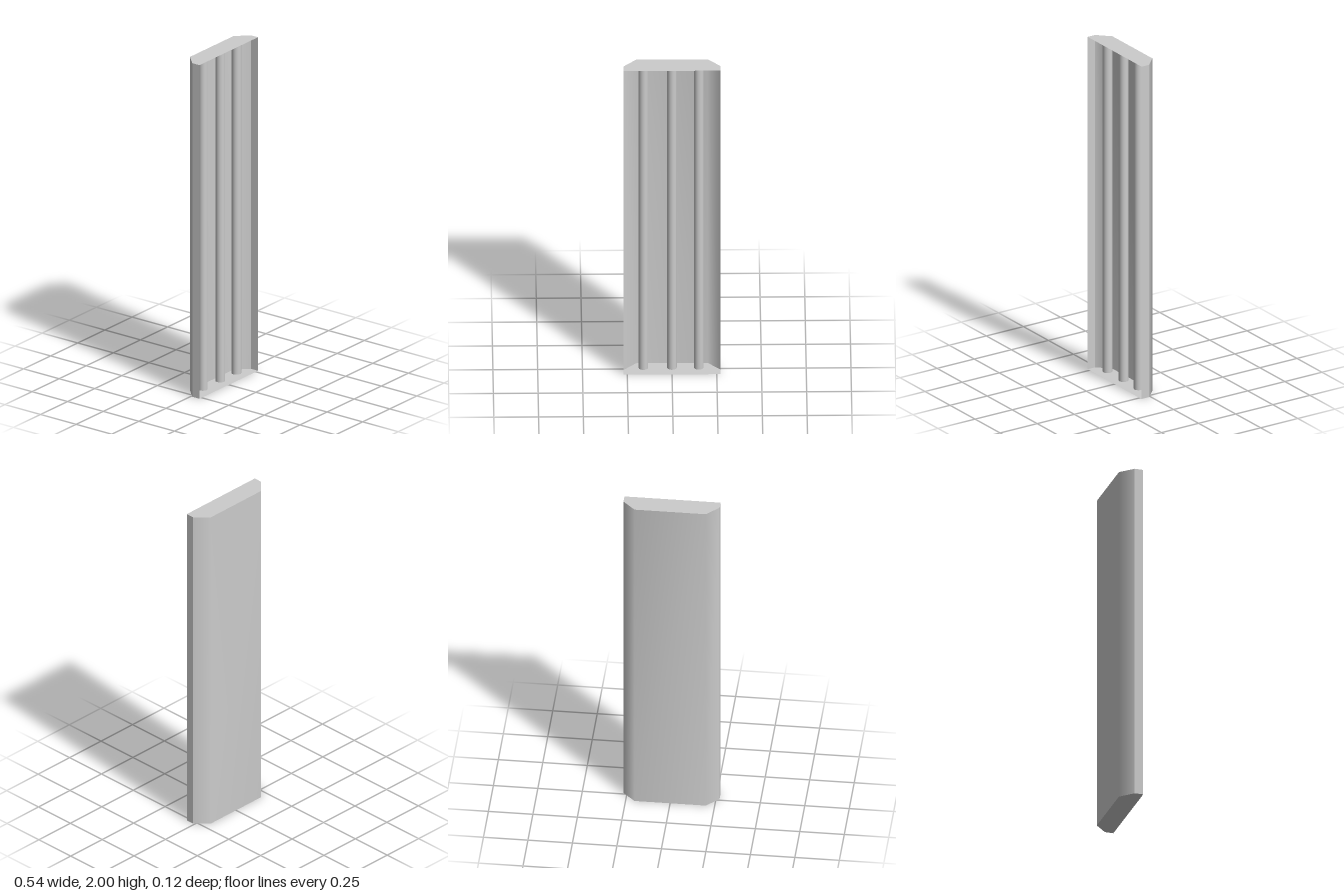
import * as THREE from 'three';

const H = 2;
// Plan corners (x, z) of the open-fronted tray, from one front edge round the back to the other
const PLAN = [[-0.27, 0.06], [-0.27, 0.01], [-0.2, -0.06], [0.2, -0.06], [0.27, 0.01], [0.27, 0.06]];

// Upright sheet following plan points, smooth along its length
function sheet(points, material) {
  const pos = [], index = [];
  points.forEach(([x, z], i) => {
    pos.push(x, 0, z, x, H, z);
    const a = 2 * i;
    if (i < points.length - 1) index.push(a, a + 1, a + 2, a + 2, a + 1, a + 3);
  });
  const g = new THREE.BufferGeometry();
  g.setAttribute('position', new THREE.Float32BufferAttribute(pos, 3));
  g.setIndex(index);
  g.computeVertexNormals();
  return new THREE.Mesh(g, material);
}

export function createModel() {
  const group = new THREE.Group();
  const shell = new THREE.MeshStandardMaterial({ color: 0xcccccc, side: THREE.DoubleSide });
  const add = (mesh, name) => {
    mesh.name = name;
    group.add(mesh);
    return mesh;
  };

  // Housing: straight sides, and a back that blends into its bevels
  add(sheet(PLAN.slice(0, 2), shell), 'rightSide');
  add(sheet(PLAN.slice(1, 5), shell), 'bevelledBack');
  add(sheet(PLAN.slice(4), shell), 'leftSide');

  // End plates
  const outline = new THREE.Shape(PLAN.map(([x, z]) => new THREE.Vector2(x, -z)));
  for (const [y, name] of [[0, 'bottomPlate'], [H, 'topPlate']]) {
    const plate = new THREE.ShapeGeometry(outline).rotateX(-Math.PI / 2);
    add(new THREE.Mesh(plate, shell), name).position.y = y;
  }

  // Three lamp tubes inside the housing
  const tubeMaterial = new THREE.MeshStandardMaterial({ color: 0xcccccc });
  const tubeGeometry = new THREE.CylinderGeometry(0.027, 0.027, H - 0.02, 24);
  [['rightTube', -0.16], ['middleTube', 0], ['leftTube', 0.15]].forEach(([name, x]) => {
    add(new THREE.Mesh(tubeGeometry, tubeMaterial), name).position.set(x, H / 2, 0);
  });

  return group;
}
